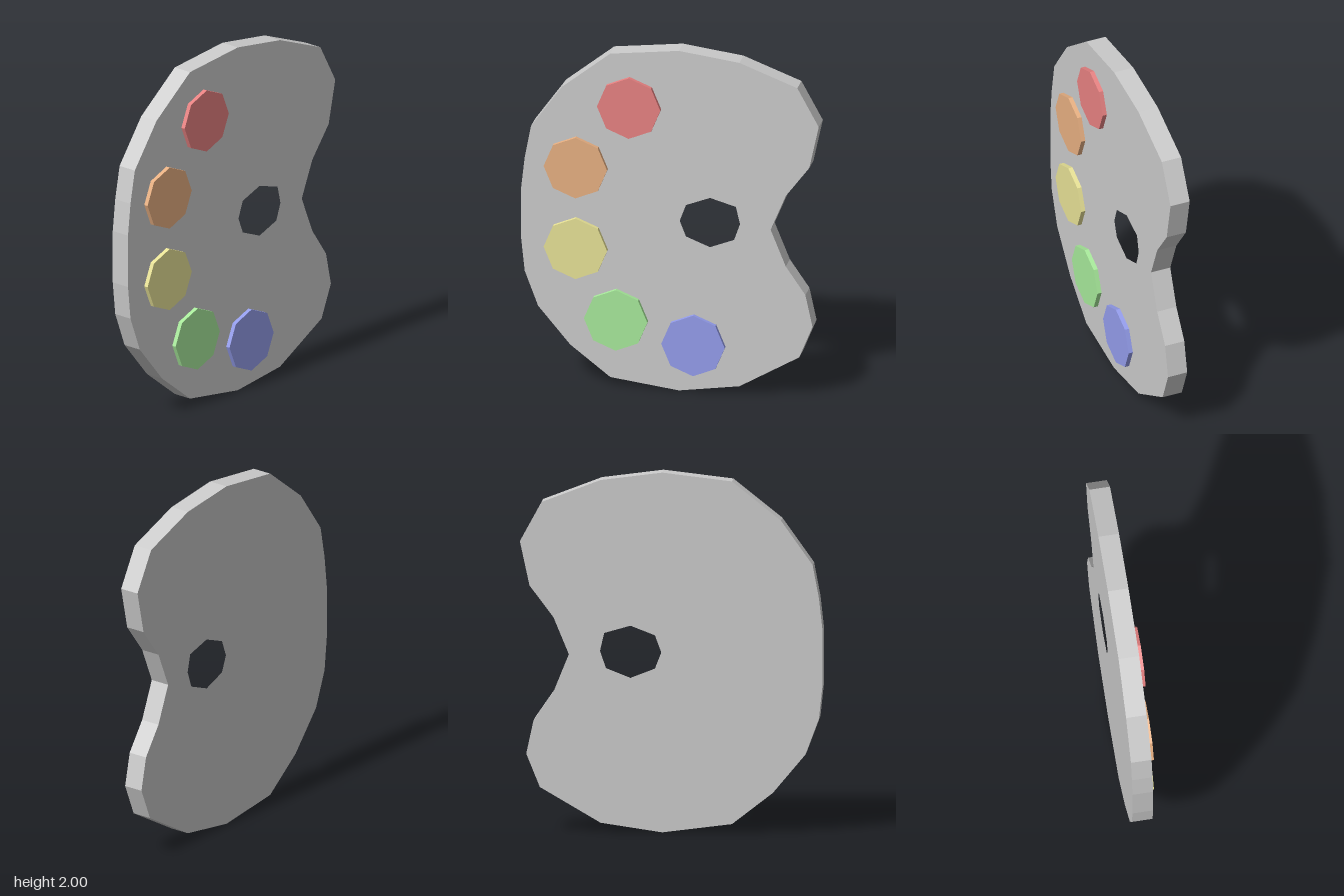
import * as THREE from 'three';

const BACK = -0.07, FRONT = 0.045, PAINT_FRONT = 0.07;

const toPoints = (list) => list.map(([x, y]) => new THREE.Vector2(x, y));

// Kidney-shaped outline, clockwise from the top
const OUTLINE = [
  [0.05, 2], [0.39, 1.955], [0.715, 1.83], [0.835, 1.61], [0.782, 1.365], [0.65, 1.19],
  [0.565, 0.985], [0.65, 0.775], [0.76, 0.615], [0.8, 0.43], [0.725, 0.245], [0.39, 0.05],
  [0.05, 0], [-0.335, 0.05], [-0.56, 0.225], [-0.74, 0.44], [-0.815, 0.64], [-0.835, 0.83],
  [-0.835, 1.13], [-0.815, 1.31], [-0.78, 1.495], [-0.605, 1.74], [-0.335, 1.955],
];

const THUMB_HOLE = [
  [0.225, 1.147], [0.37, 1.105], [0.393, 1.005], [0.36, 0.91],
  [0.225, 0.857], [0.09, 0.91], [0.055, 1.0], [0.09, 1.095],
];

const PAINTS = [
  ['redPaint', -0.227, 1.648, 0xe88282],
  ['orangePaint', -0.526, 1.275, 0xe8b082],
  ['yellowPaint', -0.526, 0.8, 0xe8e296],
  ['greenPaint', -0.3, 0.395, 0xa8ea9b],
  ['bluePaint', 0.134, 0.277, 0x949dec],
];

export function createModel() {
  const group = new THREE.Group();
  group.name = 'paintPalette';

  const addMesh = (name, geometry, color) => {
    const material = new THREE.MeshStandardMaterial({ color, flatShading: true });
    const mesh = new THREE.Mesh(geometry, material);
    mesh.name = name;
    group.add(mesh);
    return mesh;
  };

  // Board with thumb hole
  const shape = new THREE.Shape(toPoints(OUTLINE));
  shape.holes.push(new THREE.Path(toPoints(THUMB_HOLE)));
  const board = new THREE.ExtrudeGeometry(shape, { depth: FRONT - BACK, bevelEnabled: false });
  addMesh('board', board.translate(0, 0, BACK), 0xcccccc);

  // Octagonal dabs of paint, resting on the front face
  const depth = PAINT_FRONT - FRONT;
  const dab = new THREE.CylinderGeometry(0.178, 0.178, depth, 8).rotateX(Math.PI / 2);
  for (const [name, x, y, color] of PAINTS) {
    addMesh(name, dab, color).position.set(x, y, FRONT + depth / 2);
  }

  return group;
}
